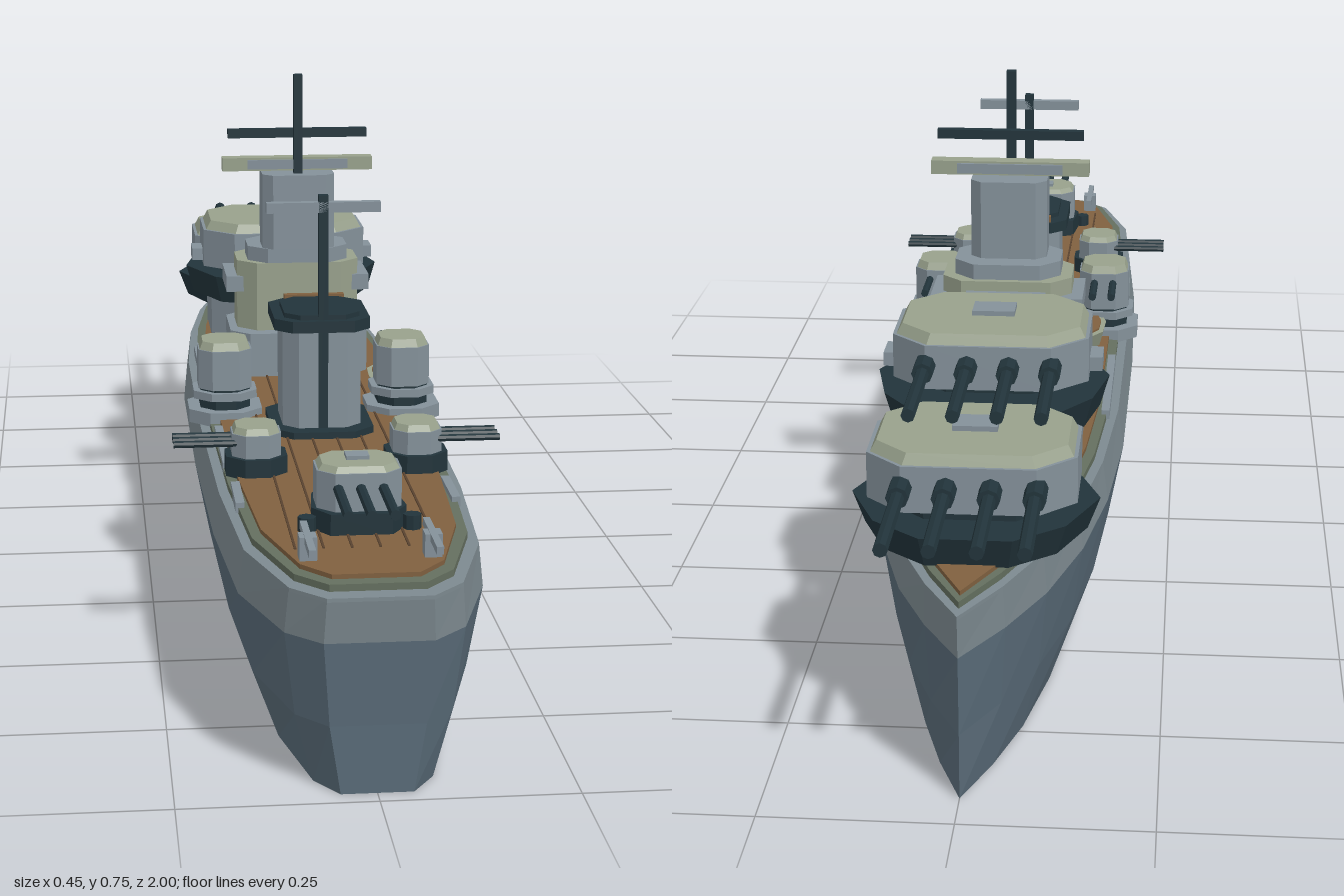
import * as THREE from 'three';

const mat = (name, color, side = THREE.FrontSide) => {
  const m = new THREE.MeshStandardMaterial({ color, flatShading: true, side });
  m.name = name;
  return m;
};

export function createModel() {
  const ship = new THREE.Group();
  ship.name = 'warship';
  const hullBlue = mat('hullBlue', 0x5a6c79, THREE.DoubleSide);
  const bandGrey = mat('bandGrey', 0x7d8a90, THREE.DoubleSide);
  const steel = mat('steelGrey', 0x84919a);
  const dark = mat('darkSteel', 0x22343b);
  const khaki = mat('khakiGrey', 0x98a18c);
  const edge = mat('deckEdge', 0x646f5f);
  const wood = mat('wood', 0x80603f);
  const seam = mat('deckSeam', 0x59432f);

  const add = (parent, name, geo, material, x = 0, y = 0, z = 0) => {
    const m = new THREE.Mesh(geo, material);
    m.name = name;
    m.position.set(x, y, z);
    parent.add(m);
    return m;
  };
  // box given by its centre in x and z and by its bottom and top heights
  const box = (p, name, material, w, d, y0, y1, x = 0, z = 0) =>
    add(p, name, new THREE.BoxGeometry(w, y1 - y0, d), material, x, (y0 + y1) / 2, z);
  // upright prism over an outline of [x, z] points, with a scaled foot or top
  const prism = (p, name, material, pts, y0, y1, x = 0, z = 0, foot = 1, top = 1) => {
    const shape = new THREE.Shape(pts.map(([a, b]) => new THREE.Vector2(a, -b)));
    const g = new THREE.ExtrudeGeometry(shape, { depth: y1 - y0, bevelEnabled: false });
    g.rotateX(-Math.PI / 2);
    const v = g.attributes.position;
    for (let i = 0; i < v.count; i++) {
      const s = v.getY(i) < (y1 - y0) / 2 ? foot : top;
      v.setX(i, v.getX(i) * s);
      v.setZ(i, v.getZ(i) * s);
    }
    g.computeVertexNormals();
    return add(p, name, g, material, x, y0, z);
  };
  const mirror = (half) => [...half, ...half.filter((q) => q[0] > 0).reverse().map(([a, b]) => [-a, b])];
  // rectangle with cut corners
  const cut = (w, d, c) => mirror([[w / 2 - c, -d / 2], [w / 2, -d / 2 + c], [w / 2, d / 2 - c], [w / 2 - c, d / 2]]);
  const barrel = (p, r, len, x, y, z, axis = 'z') => {
    const g = new THREE.CylinderGeometry(r, r, len, 8);
    if (axis === 'z') g.rotateX(Math.PI / 2);
    if (axis === 'x') g.rotateZ(Math.PI / 2);
    return add(p, 'gunBarrel', g, dark, x, y, z);
  };

  // hull: one outline scaled through four levels, open underneath
  const outline = mirror([[0, -0.955], [0.052, -0.86], [0.098, -0.75], [0.138, -0.6], [0.165, -0.42], [0.18, -0.2],
    [0.182, 0.2], [0.175, 0.55], [0.158, 0.8], [0.112, 0.95], [0.068, 0.995]]);
  const levels = [[0, 0.67, 0.98], [0.09, 0.88, 0.983], [0.2, 1, 0.992], [0.26, 0.955, 1]];
  const n = outline.length;
  const skin = (name, material, rows) => {
    const pos = [], idx = [];
    rows.forEach(([y, sx, sz]) => outline.forEach(([x, z]) => pos.push(x * sx, y, z * sz)));
    for (let r = 0; r < rows.length - 1; r++) for (let i = 0; i < n; i++) {
      const a = r * n + i, b = r * n + (i + 1) % n;
      idx.push(a, a + n, b, b, a + n, b + n);
    }
    const g = new THREE.BufferGeometry();
    g.setAttribute('position', new THREE.Float32BufferAttribute(pos, 3));
    g.setIndex(idx);
    g.computeVertexNormals();
    add(ship, name, g, material);
  };
  skin('hullSides', hullBlue, levels.slice(0, 3));
  skin('hullTopBand', bandGrey, levels.slice(2));

  // deck layers
  const scaled = (sx, sz) => outline.map(([x, z]) => [x * sx, z * sz]);
  prism(ship, 'hullRim', bandGrey, scaled(0.955, 1), 0.255, 0.26);
  prism(ship, 'deckEdge', edge, scaled(0.88, 0.975), 0.26, 0.269);
  prism(ship, 'woodDeck', wood, scaled(0.8, 0.955), 0.269, 0.275);
  for (const x of [-0.09, -0.054, -0.018, 0.018, 0.054, 0.09])
    box(ship, 'deckSeam', seam, 0.003, 1.3, 0.274, 0.277, x, 0.2);

  // main gun turrets on the foredeck
  const mainTurret = (name, z, y) => {
    const g = new THREE.Group();
    g.name = name;
    g.position.set(0, y, z);
    ship.add(g);
    prism(g, 'turretFoot', dark, cut(0.22, 0.18, 0.05), -0.025, 0.005);
    prism(g, 'turretHouse', steel, cut(0.275, 0.215, 0.05), 0, 0.063);
    prism(g, 'turretRoof', khaki, cut(0.265, 0.205, 0.047), 0.063, 0.078, 0, 0, 1, 0.94);
    box(g, 'roofHatch', steel, 0.06, 0.045, 0.076, 0.085, 0, 0.01);
    for (const x of [-0.087, -0.029, 0.029, 0.087]) {
      barrel(g, 0.015, 0.05, x, 0.035, -0.12);
      barrel(g, 0.0095, 0.22, x, 0.035, -0.2);
    }
    return g;
  };
  mainTurret('bowTurret', -0.69, 0.33);
  const upper = mainTurret('upperTurret', -0.4, 0.395);
  for (const s of [-1, 1]) box(upper, 'turretEar', steel, 0.025, 0.05, 0.004, 0.024, s * 0.143, 0);
  prism(ship, 'bowTurretBase', dark, mirror([[0.06, -0.155], [0.125, -0.1], [0.165, 0], [0.12, 0.12], [0.09, 0.175]]),
    0.272, 0.315, 0, -0.69, 0.9);
  prism(ship, 'upperBarbette', steel, cut(0.25, 0.26, 0.06), 0.272, 0.34, 0, -0.405);
  prism(ship, 'upperTurretBase', dark, mirror([[0.1, -0.165], [0.145, -0.1], [0.165, 0], [0.12, 0.105], [0, 0.165]]),
    0.34, 0.385, 0, -0.4, 0.92);

  // bridge tower
  const bridge = new THREE.Group();
  bridge.name = 'bridge';
  ship.add(bridge);
  prism(bridge, 'bridgeBase', steel, cut(0.22, 0.175, 0.03), 0.273, 0.345, 0, -0.122);
  prism(bridge, 'bridgeHouse', khaki, cut(0.195, 0.13, 0.03), 0.345, 0.455, 0, -0.125);
  for (const s of [-1, 1]) box(bridge, 'bridgeWing', steel, 0.05, 0.11, 0.405, 0.43, s * 0.09, -0.135);
  box(bridge, 'bridgeFront', steel, 0.12, 0.03, 0.41, 0.44, 0, -0.197);
  prism(bridge, 'bridgeRoof', steel, cut(0.16, 0.12, 0.03), 0.455, 0.478, 0, -0.12);
  prism(bridge, 'controlTower', steel, cut(0.115, 0.09, 0.016), 0.478, 0.597, 0, -0.1);
  box(bridge, 'rangefinder', khaki, 0.24, 0.025, 0.6, 0.621, 0, -0.1);
  box(bridge, 'rangefinderPlate', steel, 0.16, 0.034, 0.603, 0.618, 0, -0.1);
  box(bridge, 'foreMast', dark, 0.014, 0.014, 0.59, 0.755, 0, -0.08);
  box(bridge, 'foreYard', dark, 0.222, 0.014, 0.653, 0.667, 0, -0.095);

  // funnel and after mast
  const funnel = new THREE.Group();
  funnel.name = 'funnel';
  ship.add(funnel);
  prism(funnel, 'funnelFoot', dark, cut(0.15, 0.18, 0.03), 0.273, 0.285, 0, 0.255);
  prism(funnel, 'funnelBody', steel, cut(0.115, 0.13, 0.022), 0.28, 0.43, 0, 0.255);
  prism(funnel, 'funnelCap', dark, cut(0.14, 0.165, 0.025), 0.43, 0.447, 0, 0.248);
  prism(funnel, 'funnelLip', dark, cut(0.11, 0.13, 0.022), 0.447, 0.454, 0, 0.255);
  box(funnel, 'funnelTrim', wood, 0.09, 0.012, 0.446, 0.456, 0, 0.18);
  box(funnel, 'funnelHouse', steel, 0.08, 0.07, 0.273, 0.4, 0, 0.16);
  box(funnel, 'afterMast', dark, 0.014, 0.014, 0.28, 0.63, 0, 0.315);
  box(funnel, 'afterYard', steel, 0.165, 0.014, 0.605, 0.62, 0, 0.315);

  // after turret
  const after = new THREE.Group();
  after.name = 'afterTurret';
  ship.add(after);
  prism(after, 'afterBase', dark, mirror([[0, -0.07], [0.055, -0.045], [0.062, 0.02], [0.04, 0.055]]), 0.273, 0.303, 0, 0.745);
  prism(after, 'afterHouse', steel, cut(0.11, 0.09, 0.022), 0.303, 0.353, 0, 0.745);
  prism(after, 'afterRoof', khaki, cut(0.105, 0.085, 0.02), 0.353, 0.361, 0, 0.745, 1, 0.9);
  box(after, 'afterHatch', steel, 0.03, 0.025, 0.36, 0.366, 0, 0.74);
  for (const x of [-0.029, 0, 0.029]) barrel(after, 0.007, 0.13, x, 0.333, 0.84);

  for (const s of [-1, 1]) {
    // secondary turrets on side platforms
    const sec = new THREE.Group();
    sec.name = s > 0 ? 'leftSecondaryTurret' : 'rightSecondaryTurret';
    sec.position.set(s * 0.135, 0, 0.165);
    ship.add(sec);
    prism(sec, 'platform', steel, cut(0.11, 0.12, 0.03), 0.265, 0.285);
    prism(sec, 'pedestal', dark, cut(0.075, 0.085, 0.022), 0.285, 0.315);
    prism(sec, 'pedestalRing', steel, cut(0.095, 0.1, 0.026), 0.3, 0.312);
    prism(sec, 'house', steel, cut(0.08, 0.085, 0.02), 0.315, 0.375);
    prism(sec, 'roof', khaki, cut(0.076, 0.08, 0.018), 0.375, 0.387, 0, 0, 1, 0.88);
    for (const x of [-0.015, 0.015]) barrel(sec, 0.006, 0.08, x, 0.36, -0.08);

    // side guns pointing outboard
    const side = new THREE.Group();
    side.name = s > 0 ? 'leftSideGun' : 'rightSideGun';
    side.position.set(s * 0.112, 0, 0.49);
    ship.add(side);
    prism(side, 'sideGunBase', dark, cut(0.085, 0.09, 0.025), 0.272, 0.3);
    prism(side, 'sideGunHouse', steel, cut(0.068, 0.075, 0.018), 0.3, 0.332);
    prism(side, 'sideGunRoof', khaki, cut(0.064, 0.07, 0.016), 0.332, 0.341, 0, 0, 1, 0.88);
    for (const z of [-0.021, 0, 0.021]) barrel(side, 0.005, 0.09, s * 0.07, 0.319, z, 'x');

    // ship's boats
    const boat = mirror([[0, -0.065], [0.02, -0.035], [0.023, 0.02], [0.014, 0.055]]);
    prism(ship, 'boatHull', khaki, boat, 0.278, 0.304, s * 0.118, 0.075, 0.7);
    prism(ship, 'boatInside', wood, boat.map(([x, z]) => [x * 0.65, z * 0.75]), 0.303, 0.307, s * 0.118, 0.075);

    // deck edge lockers and stern fittings
    box(ship, 'deckLocker', steel, 0.012, 0.26, 0.262, 0.276, s * 0.154, -0.12);
    box(ship, 'deckLocker', steel, 0.012, 0.2, 0.262, 0.276, s * 0.15, 0.36);
    box(ship, 'deckLocker', steel, 0.012, 0.1, 0.262, 0.276, s * 0.145, 0.6);
    box(ship, 'sternPost', steel, 0.022, 0.024, 0.27, 0.305, s * 0.078, 0.885);
    box(ship, 'sternBar', steel, 0.009, 0.12, 0.296, 0.306, s * 0.078, 0.89);
    add(ship, 'sternBollard', new THREE.CylinderGeometry(0.012, 0.012, 0.02, 8), dark, s * 0.068, 0.284, 0.775);
  }
  return ship;
}
